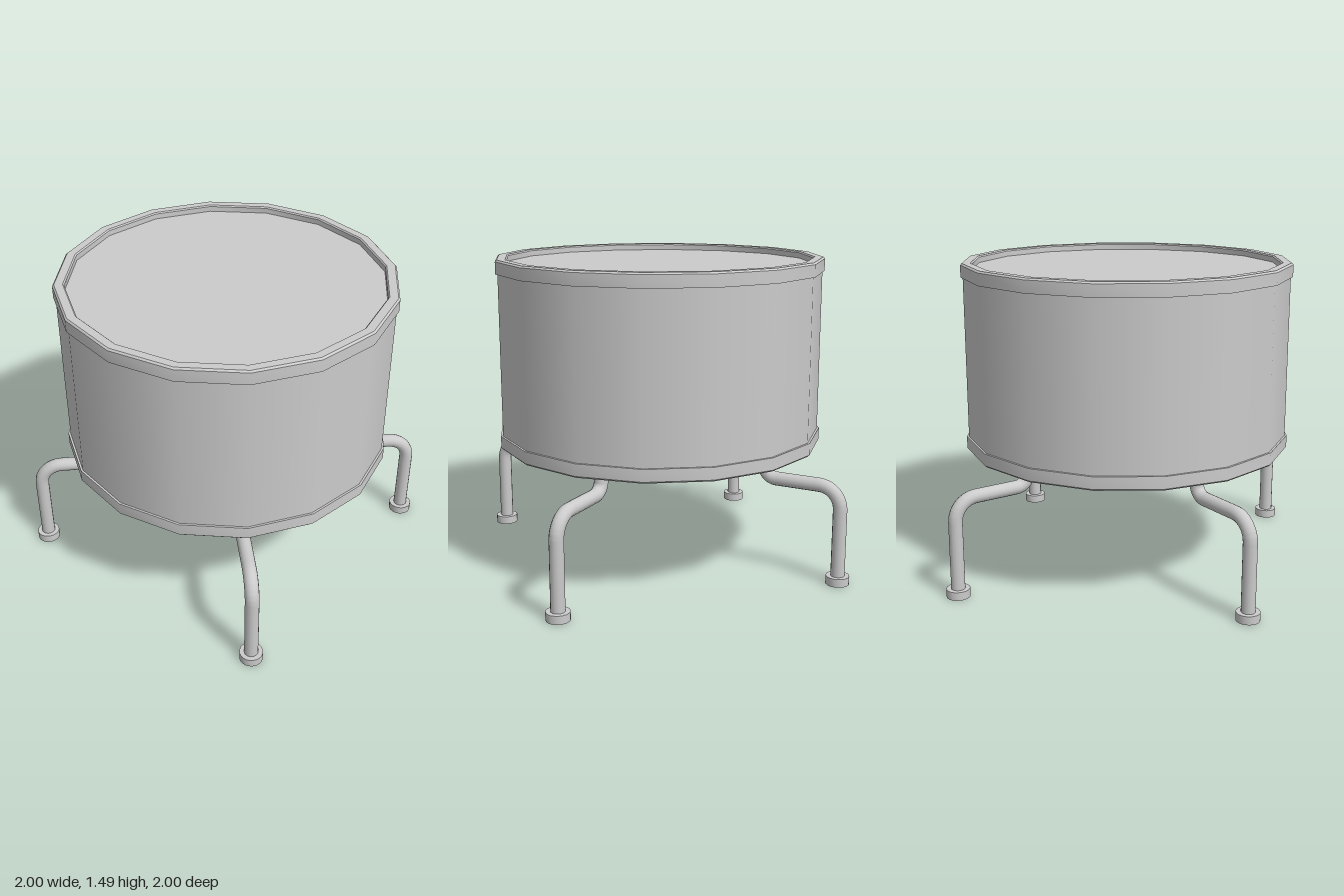
import * as THREE from 'three';
import { toCreasedNormals } from 'three/addons/utils/BufferGeometryUtils.js';

const material = new THREE.MeshStandardMaterial({ color: 0xcccccc });
const SIDES = 16;

function part(name, geometry, y = 0) {
  const mesh = new THREE.Mesh(geometry, material);
  mesh.name = name;
  mesh.position.y = y;
  return mesh;
}

// Revolved [radius, height] profile with crisp profile edges
function turned(points, sides) {
  const profile = points.map(([r, y]) => new THREE.Vector2(r, y));
  return toCreasedNormals(new THREE.LatheGeometry(profile, sides), 0.6);
}

// Hoop with a small chamfer on its exposed edge, open in the middle
function hoopGeometry() {
  return turned([
    [0.732, 0], [0.785, 0], [0.785, 0.057], [0.777, 0.065],
    [0.738, 0.065], [0.732, 0.059], [0.732, 0],
  ], SIDES);
}

// S-bent tube: down from the drum, outwards, then down to the floor
function legPath() {
  const v = (x, y) => new THREE.Vector3(x, y, 0);
  const path = new THREE.CurvePath();
  const arc = (cx, cy, r, from, to) => {
    const points = [];
    for (let i = 0; i <= 8; i++) {
      const a = THREE.MathUtils.lerp(from, to, i / 8);
      points.push(v(cx + r * Math.cos(a), cy + r * Math.sin(a)));
    }
    for (let i = 0; i < 8; i++) path.add(new THREE.LineCurve3(points[i], points[i + 1]));
  };
  path.add(new THREE.LineCurve3(v(0.565, 0.64), v(0.565, 0.528)));
  arc(0.625, 0.528, 0.06, Math.PI, Math.PI * 1.5);
  path.add(new THREE.LineCurve3(v(0.625, 0.468), v(0.838, 0.468)));
  arc(0.838, 0.363, 0.105, Math.PI / 2, 0);
  path.add(new THREE.LineCurve3(v(0.943, 0.363), v(0.943, 0.025)));
  return path;
}

export function createModel() {
  const model = new THREE.Group();
  model.name = 'floorDrum';

  // Shell and the two recessed heads
  model.add(part('shell', new THREE.CylinderGeometry(0.775, 0.775, 0.8, SIDES, 1, true), 1.045));
  const head = new THREE.CylinderGeometry(0.74, 0.74, 0.02, SIDES);
  model.add(part('topHead', head, 1.448));
  model.add(part('bottomHead', head, 0.64));

  // Hoops, the lower one turned upside down
  const hoop = hoopGeometry();
  model.add(part('topHoop', hoop, 1.425));
  const bottomHoop = part('bottomHoop', hoop, 0.66);
  bottomHoop.rotation.x = Math.PI;
  model.add(bottomHoop);

  // Four legs with hollow-bottomed feet
  const tube = new THREE.TubeGeometry(legPath(), 90, 0.033, 14, false);
  const foot = turned([
    [0.044, 0.022], [0.044, 0], [0.055, 0], [0.055, 0.04], [0.03, 0.04],
  ], 20);
  const sole = new THREE.CylinderGeometry(0.046, 0.046, 0.012, 20);
  for (let i = 0; i < 4; i++) {
    const leg = new THREE.Group();
    leg.name = 'leg';
    const footMesh = part('foot', foot);
    const soleMesh = part('sole', sole, 0.024);
    footMesh.position.x = soleMesh.position.x = 0.943;
    leg.add(part('legTube', tube), footMesh, soleMesh);
    leg.rotation.y = i * Math.PI / 2;
    model.add(leg);
  }
  return model;
}
